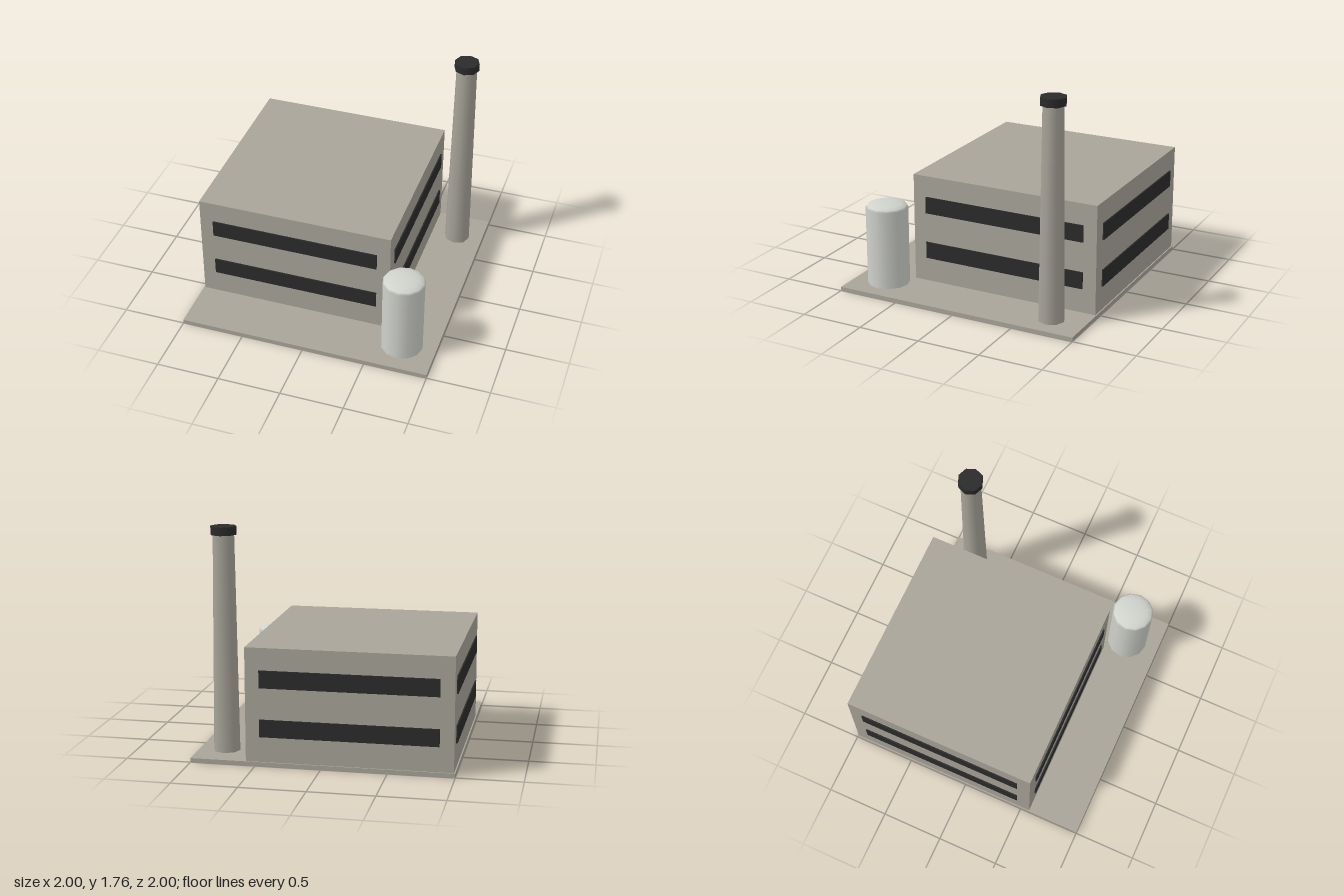
import * as THREE from 'three';

export function createModel() {
  const model = new THREE.Group();
  model.name = 'factory';

  const material = (name, color) => {
    const m = new THREE.MeshStandardMaterial({ color });
    m.name = name;
    return m;
  };
  const concrete = material('concrete', 0xa8a49a);
  const dark = material('darkGlass', 0x2b2b2b);
  const metal = material('paleMetal', 0xd0d2cc);

  const add = (parent, name, geometry, mat, x, y, z) => {
    const mesh = new THREE.Mesh(geometry, mat);
    mesh.name = name;
    mesh.position.set(x, y, z);
    parent.add(mesh);
    return mesh;
  };

  const ground = 0.032;

  // Base slab
  add(model, 'baseSlab', new THREE.BoxGeometry(2, ground, 2), concrete, 0, ground / 2, 0);

  // Main hall, set towards the back right corner
  const hall = new THREE.Group();
  hall.name = 'hall';
  hall.position.set(-0.209, 0, -0.209);
  model.add(hall);
  const half = 0.781;
  const top = 0.905;
  add(hall, 'hallWalls', new THREE.BoxGeometry(half * 2, top - ground, half * 2),
    concrete, 0, (top + ground) / 2, 0);

  // Two window bands on each of the four walls
  const proud = 0.0105;
  const band = new THREE.BoxGeometry(1.347, 0.134, proud);
  ['front', 'left', 'back', 'right'].forEach((side, i) => {
    const wall = new THREE.Group();
    wall.name = side + 'Windows';
    wall.rotation.y = i * Math.PI / 2;
    hall.add(wall);
    add(wall, 'lowerWindowBand', band, dark, 0, 0.293, half + proud / 2);
    add(wall, 'upperWindowBand', band, dark, 0, 0.668, half + proud / 2);
  });

  // Tapered chimney with a dark cap
  const chimney = new THREE.Group();
  chimney.name = 'chimney';
  chimney.position.set(0.787, 0, -0.729);
  model.add(chimney);
  const capBase = 1.697;
  const capTop = 1.76;
  add(chimney, 'chimneyShaft', new THREE.CylinderGeometry(0.083, 0.104, capBase - ground, 8),
    concrete, 0, (capBase + ground) / 2, 0);
  add(chimney, 'chimneyCap', new THREE.CylinderGeometry(0.1, 0.1, capTop - capBase, 8),
    dark, 0, (capTop + capBase) / 2, 0);

  // Storage tank with a shallow domed lid
  const tank = new THREE.Group();
  tank.name = 'tank';
  tank.position.set(0.727, 0, 0.727);
  model.add(tank);
  const rim = 0.663;
  const radius = 0.166;
  add(tank, 'tankBody', new THREE.CylinderGeometry(radius, radius, rim - ground, 12),
    metal, 0, (rim + ground) / 2, 0);
  const dome = new THREE.SphereGeometry(radius, 12, 4, 0, Math.PI * 2, 0, Math.PI / 2);
  dome.scale(1, 0.042 / radius, 1);
  add(tank, 'tankDome', dome, metal, 0, rim, 0);

  return model;
}
